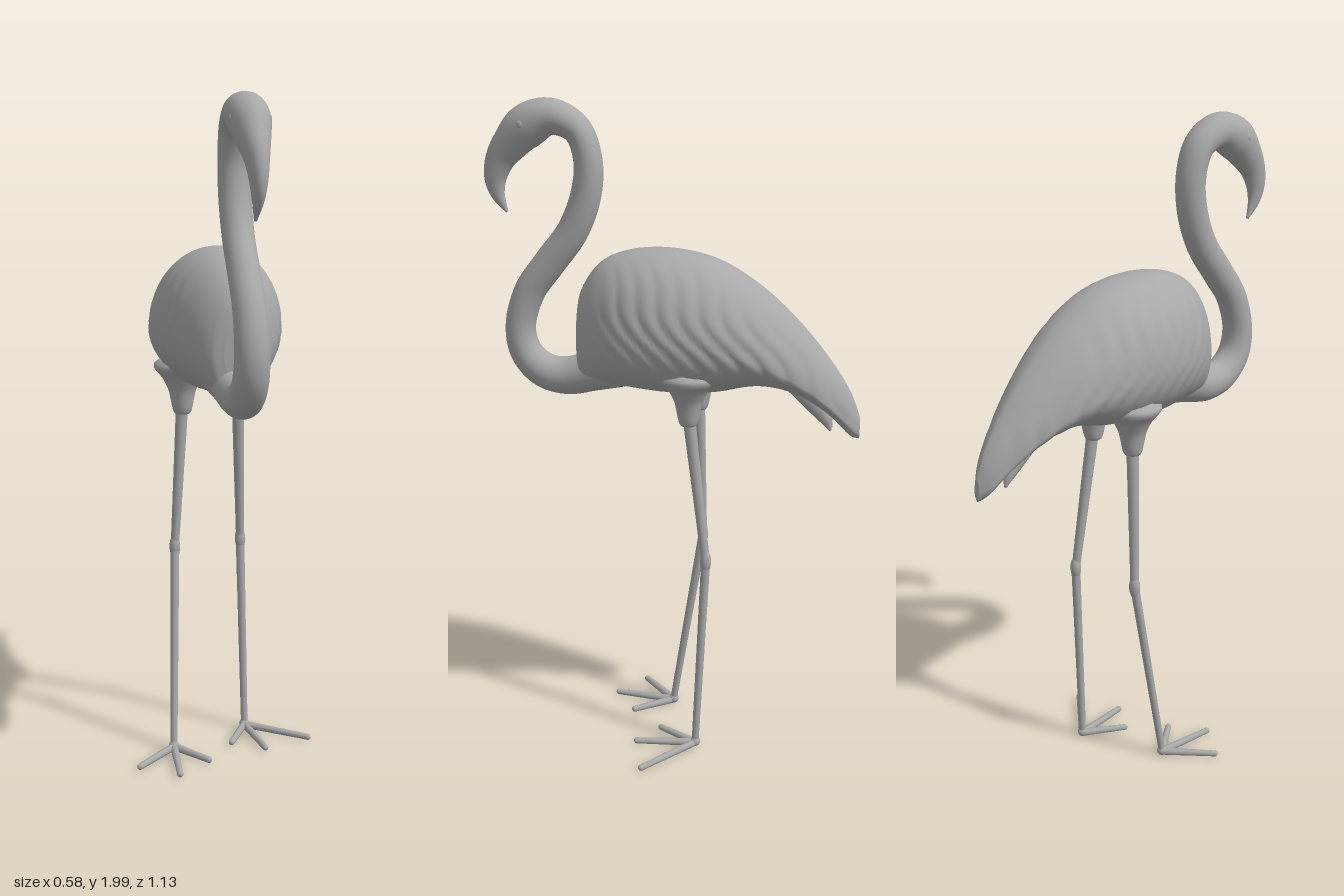
import * as THREE from 'three';

const plaster = new THREE.MeshStandardMaterial({ color: 0xa8a8a8 });
plaster.name = 'matte grey';

const MID = -0.015; // the bird's centre line
const V = (x, y, z) => new THREE.Vector3(x, y, z);
const smoothCurve = (rows) => new THREE.CatmullRomCurve3(rows.map((r) => V(...r)), false, 'centripetal');

// Skin a closed surface over equal-length rings (counter-clockwise around the sweep direction)
function loft(rings) {
  const n = rings[0].length, pos = [], index = [];
  rings.forEach((ring) => ring.forEach((p) => pos.push(p.x, p.y, p.z)));
  for (let i = 0; i < rings.length - 1; i++) {
    for (let j = 0; j < n; j++) {
      const k = (j + 1) % n;
      const a = i * n + j, b = i * n + k, c = b + n, d = a + n;
      index.push(a, b, c, a, c, d);
    }
  }
  [0, rings.length - 1].forEach((r, end) => {
    const c = V(0, 0, 0);
    rings[r].forEach((p) => c.addScaledVector(p, 1 / n));
    const id = pos.length / 3;
    pos.push(c.x, c.y, c.z);
    for (let j = 0; j < n; j++) {
      const a = r * n + j, b = r * n + ((j + 1) % n);
      index.push(id, ...(end ? [a, b] : [b, a]));
    }
  });
  const g = new THREE.BufferGeometry();
  g.setAttribute('position', new THREE.Float32BufferAttribute(pos, 3));
  g.setIndex(index);
  g.computeVertexNormals();
  return g;
}

// Sweep an ellipse along the middle plane; rows are [z, y, in-plane radius, sideways radius]
function sweep(rows, steps, sides) {
  const path = smoothCurve(rows.map(([z, y]) => [0, y, z]));
  const size = smoothCurve(rows.map(([, , r, w], i) => [r, w, i * 0.1]));
  const rings = [];
  for (let i = 0; i <= steps; i++) {
    const p = path.getPoint(i / steps), s = size.getPoint(i / steps);
    const side = V(1, 0, 0), up = path.getTangent(i / steps).cross(side);
    rings.push(Array.from({ length: sides }, (_, j) => {
      const a = (j / sides) * Math.PI * 2;
      return p.clone().addScaledVector(side, s.y * Math.cos(a)).addScaledVector(up, s.x * Math.sin(a));
    }));
  }
  return loft(rings);
}

// Body rows are [z, top, bottom, half width, height fraction of the widest line]
function bodyGeometry() {
  const rows = [
    [0.288, 1.38, 1.22, 0.035, 0.45],
    [0.275, 1.45, 1.165, 0.075, 0.45],
    [0.217, 1.53, 1.16, 0.124, 0.45],
    [0.138, 1.566, 1.157, 0.164, 0.45],
    [0.016, 1.577, 1.148, 0.188, 0.45],
    [-0.127, 1.55, 1.155, 0.18, 0.43],
    [-0.26, 1.476, 1.178, 0.152, 0.36],
    [-0.365, 1.386, 1.16, 0.114, 0.3],
    [-0.47, 1.265, 1.098, 0.07, 0.3],
    [-0.535, 1.165, 1.037, 0.036, 0.35],
    [-0.562, 1.095, 1.03, 0.01, 0.4],
  ];
  const outline = smoothCurve(rows.map(([z, t, b]) => [t, b, z]));
  const girth = smoothCurve(rows.map(([z, , , w, f]) => [w, f, z]));
  const steps = 110, sides = 72, rings = [];
  for (let i = 0; i <= steps; i++) {
    const { x: top, y: bottom, z } = outline.getPoint(i / steps);
    const { x: width, y: frac } = girth.getPoint(i / steps);
    const wide = bottom + (top - bottom) * frac;
    const tail = THREE.MathUtils.smoothstep(-z, 0.1, 0.45);
    rings.push(Array.from({ length: sides }, (_, j) => {
      const a = (j / sides) * Math.PI * 2;
      const c = Math.cos(a), s = -Math.sin(a);
      // roof-shaped over the tail, tucked in under the wing edge
      const power = 1 + tail * (s < 0 ? 0.7 : 0.25);
      let x = width * Math.sign(c) * Math.abs(c) ** power;
      let y = wide + s * (s > 0 ? top - wide : wide - bottom);
      // overlapping feather ridges that slant back and down the wings
      const phase = (z - 0.55 * y + 0.02 * Math.sin(y * 26)) / 0.06;
      const saw = Math.abs(Math.sin(phase * Math.PI)) - 0.6;
      const fade = THREE.MathUtils.smoothstep(0.24 - z, 0, 0.12) * Math.abs(c) * (s > -0.75 ? 1 : 0.3);
      const ridge = 1 + 0.045 * saw * fade;
      x *= ridge;
      return V(x, y, z);
    }));
  }
  return loft(rings);
}

// Tapered round limb between two points
function limb(a, b, ra, rb, sides = 14) {
  const g = new THREE.CylinderGeometry(rb, ra, a.distanceTo(b), sides);
  const m = new THREE.Mesh(g, plaster);
  m.position.copy(a).add(b).multiplyScalar(0.5);
  m.quaternion.setFromUnitVectors(V(0, 1, 0), b.clone().sub(a).normalize());
  return m;
}

function ball(p, r, sx = 1, sy = 1, sz = 1) {
  const m = new THREE.Mesh(new THREE.SphereGeometry(r, 16, 12), plaster);
  m.position.copy(p);
  m.scale.set(sx, sy, sz);
  return m;
}

function leg(name, hip, knee, ankle, toeTips) {
  const g = new THREE.Group();
  g.name = name;
  const add = (part, mesh) => { mesh.name = part; g.add(mesh); };
  // feathered thigh, turned as a lathe
  const profile = [[0.001, -0.04], [0.022, -0.035], [0.03, -0.02], [0.036, 0.01], [0.043, 0.04], [0.06, 0.075], [0.085, 0.12], [0.001, 0.17]];
  const thigh = new THREE.Mesh(new THREE.LatheGeometry(
    new THREE.SplineCurve(profile.map((p) => new THREE.Vector2(...p))).getPoints(28).map((p) => p.setX(Math.max(p.x, 0))), 24), plaster);
  thigh.position.copy(hip);
  add('thigh', thigh);
  add('upperLeg', limb(hip, knee, 0.019, 0.013));
  add('knee', ball(knee, 0.017, 1, 2.2, 1));
  add('lowerLeg', limb(knee, ankle, 0.014, 0.011));
  add('ankle', ball(ankle, 0.016));
  toeTips.forEach(([x, z]) => {
    const tip = V(x, 0.015, z);
    add('toe', limb(V(ankle.x, 0.016, ankle.z), tip, 0.012, 0.0095, 10));
    add('toeTip', ball(tip, 0.0095));
  });
  return g;
}

export function createModel() {
  const model = new THREE.Group();
  model.name = 'wadingBird';
  const part = (name, geometry, x = MID) => {
    const m = new THREE.Mesh(geometry, plaster);
    m.name = name;
    m.position.x = x;
    model.add(m);
  };

  part('body', bodyGeometry());

  // neck, head and hooked beak in one smooth sweep
  part('neckAndHead', sweep([
    [0.1, 1.27, 0.1, 0.1],
    [0.18, 1.225, 0.08, 0.085],
    [0.25, 1.195, 0.063, 0.066],
    [0.33, 1.175, 0.058, 0.056],
    [0.4, 1.188, 0.054, 0.052],
    [0.455, 1.24, 0.049, 0.05],
    [0.472, 1.32, 0.046, 0.048],
    [0.44, 1.43, 0.047, 0.046],
    [0.375, 1.52, 0.048, 0.045],
    [0.3, 1.62, 0.047, 0.045],
    [0.258, 1.73, 0.045, 0.046],
    [0.252, 1.83, 0.042, 0.047],
    [0.284, 1.912, 0.043, 0.05],
    [0.36, 1.945, 0.053, 0.056],
    [0.43, 1.918, 0.064, 0.057],
    [0.482, 1.868, 0.054, 0.044],
    [0.517, 1.82, 0.044, 0.032],
    [0.533, 1.767, 0.034, 0.024],
    [0.528, 1.72, 0.022, 0.016],
    [0.501, 1.667, 0.004, 0.004],
  ], 130, 28));

  // eyes, barely raised from the head
  [-1, 1].forEach((s) => {
    const eye = ball(V(MID + s * 0.05, 1.925, 0.435), 0.014, 0.6, 1, 1);
    eye.name = 'eye';
    model.add(eye);
  });

  // short feather tips below the tail
  [-1, 1].forEach((s) => part('underTailFeather', sweep([
    [-0.36, 1.2, 0.03, 0.03],
    [-0.42, 1.14, 0.028, 0.024],
    [-0.46, 1.09, 0.018, 0.014],
    [-0.478, 1.055, 0.004, 0.004],
  ], 16, 12), MID + s * 0.018));

  model.add(leg('rightLeg', V(-0.106, 1.1, -0.063), V(-0.13, 0.64, -0.075), V(-0.155, 0.02, 0.025),
    [[-0.28, 0.143], [-0.17, 0.218], [-0.066, 0.14]]));
  model.add(leg('leftLeg', V(0.068, 1.1, -0.063), V(0.09, 0.64, -0.122), V(0.1, 0.02, -0.095),
    [[0.277, 0.042], [0.125, 0.09], [0.03, 0.03]]));
  return model;
}
